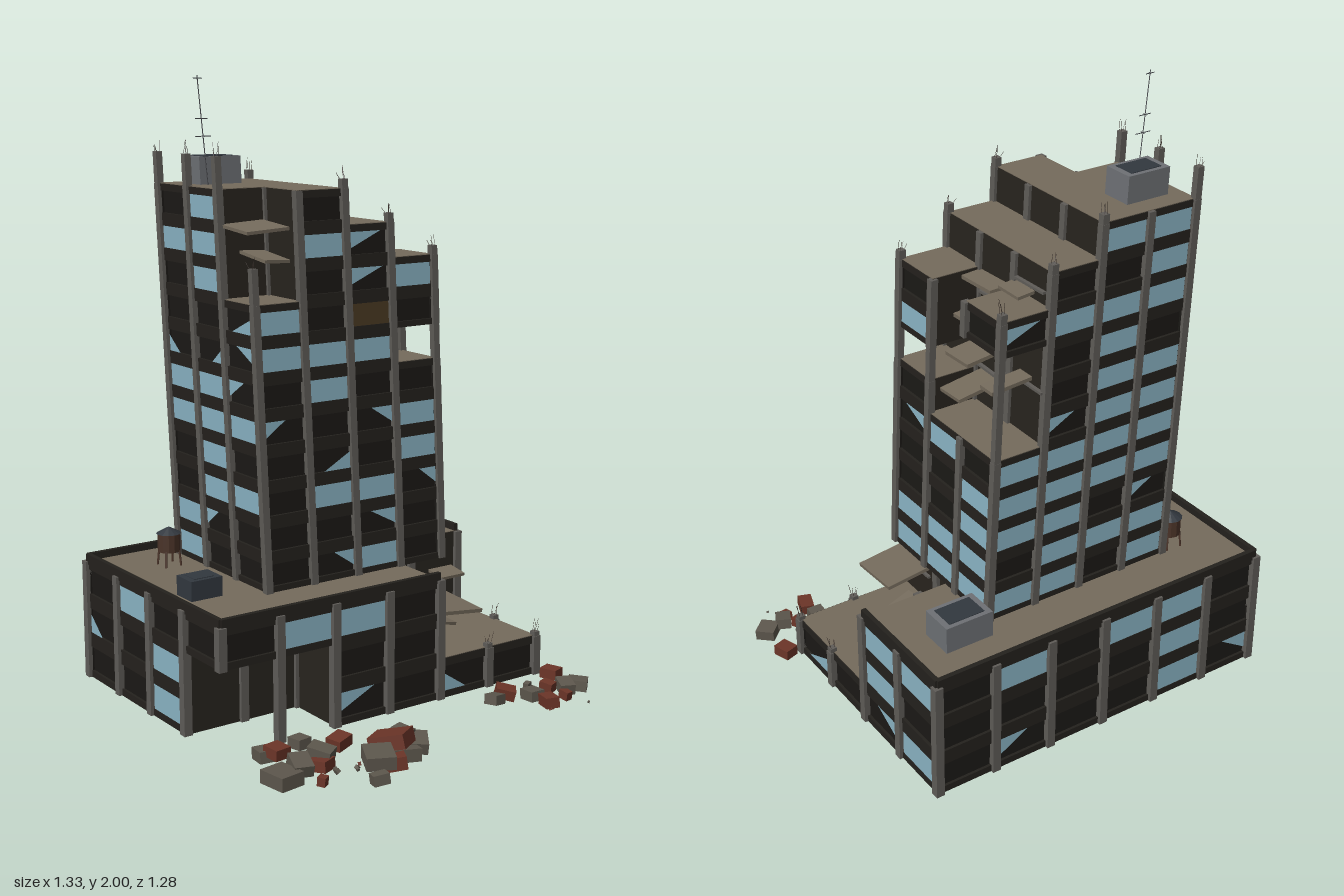
import * as THREE from 'three';
import { mergeGeometries } from 'three/addons/utils/BufferGeometryUtils.js';

const COLORS = {
  walls: 0x24211d, panels: 0x1b1916, innerWalls: 0x28241e, glass: 0x8ab4c4, slabs: 0x756b5c, columns: 0x5f5c58,
  boards: 0x4a3a22, vents: 0x6e7175, ventTops: 0x32383f, rebar: 0x3a302a,
  tank: 0x4a3328, antenna: 0x44464a, brickRubble: 0x6c3528, concreteRubble: 0x5d574d,
};
const hash = n => { const s = Math.sin(n * 12.9898 + 4.1) * 43758.5453; return s - Math.floor(s); };

// Gathers the pieces of a building section and merges them by part
class Section {
  constructor(name) { this.name = name; this.parts = {}; }
  add(part, geo, pos = [0, 0, 0], rot = [0, 0, 0]) {
    const g = geo.index ? geo.toNonIndexed() : geo;
    g.deleteAttribute('uv');
    g.applyMatrix4(new THREE.Matrix4().makeRotationFromEuler(new THREE.Euler(...rot)).setPosition(...pos));
    (this.parts[part] ??= []).push(g);
  }
  box(part, x0, x1, y0, y1, z0, z1) {
    this.add(part, new THREE.BoxGeometry(x1 - x0, y1 - y0, z1 - z0), [(x0 + x1) / 2, (y0 + y1) / 2, (z0 + z1) / 2]);
  }
  tilted(part, size, pos, rot) { this.add(part, new THREE.BoxGeometry(...size), pos, rot); }
  rod(part, a, b, r) {
    const line = new THREE.LineCurve3(new THREE.Vector3(...a), new THREE.Vector3(...b));
    this.add(part, new THREE.TubeGeometry(line, 1, r, 4));
  }
  build(leanX = 0, leanZ = 0, baseY = 0) {
    const group = new THREE.Group();
    group.name = this.name;
    for (const [part, list] of Object.entries(this.parts)) {
      const geo = mergeGeometries(list), p = geo.attributes.position;
      for (let i = 0; i < p.count; i++) {
        const dy = p.getY(i) - baseY;
        p.setX(i, p.getX(i) + leanX * dy);
        p.setZ(i, p.getZ(i) + leanZ * dy);
      }
      geo.computeVertexNormals();
      const mat = new THREE.MeshStandardMaterial({ color: COLORS[part] });
      if (part === 'glass') mat.side = THREE.DoubleSide;
      const mesh = new THREE.Mesh(geo, mat);
      mesh.name = part;
      group.add(mesh);
    }
    return group;
  }
}

// Walls, windows, slabs and columns round every filled cell of a grid
function buildGrid(s, { x0, dx, nx, z0, dz, nz, y0, h, ny, filled, windows, parapet = 0, openBase = false, col }) {
  const X = i => x0 + i * dx, Z = k => z0 - k * dz, Y = j => y0 + j * h;
  const has = (i, j, k) => i >= 0 && j >= 0 && k >= 0 && i < nx && j < ny && k < nz && filled(i, j, k);
  const sides = [['front', 0, -1], ['back', 0, 1], ['right', 1, 0], ['left', -1, 0]];
  const face = (side, i, k) => ({
    front: { n: 1, at: Z(k), a0: X(i), a1: X(i + 1) },
    back: { n: -1, at: Z(k + 1), a0: X(i), a1: X(i + 1) },
    right: { n: 1, at: X(i + 1), a0: Z(k + 1), a1: Z(k), side: true },
    left: { n: -1, at: X(i), a0: Z(k + 1), a1: Z(k), side: true },
  })[side];
  const panel = (part, f, t0, t1, a0, a1, ya, yb) => {
    const p = f.at + f.n * t0, q = f.at + f.n * t1, lo = Math.min(p, q), hi = Math.max(p, q);
    if (f.side) s.box(part, lo, hi, ya, yb, a0, a1);
    else s.box(part, a0, a1, ya, yb, lo, hi);
  };
  for (let j = 0; j < ny; j++) for (let i = 0; i <= nx; i++) for (let k = 0; k <= nz; k++) {
    // Column where filled and empty cells meet
    const n = [[0, 0], [-1, 0], [0, -1], [-1, -1]].filter(([a, b]) => has(i + a, j, k + b)).length;
    if (n > 0 && n < 4) s.box('columns', X(i) - col, X(i) + col, Y(j), Y(j + 1), Z(k) - col, Z(k) + col);
    if (!has(i, j, k)) continue;
    const ya = Y(j), yb = Y(j + 1);
    if (!has(i, j + 1, k)) s.box('slabs', X(i), X(i + 1), yb - .012, yb + .002, Z(k + 1), Z(k));
    if (!has(i, j - 1, k) && !(openBase && j === 0)) s.box('slabs', X(i), X(i + 1), ya, ya + .012, Z(k + 1), Z(k));
    sides.forEach(([side, di, dk], d) => {
      if (has(i + di, j, k + dk)) return;
      const f = face(side, i, k), a = f.side ? k : i, { a0, a1 } = f;
      const outer = i + di < 0 || i + di >= nx || k + dk < 0 || k + dk >= nz;
      // Plain wall where a neighbouring bay has fallen away
      if (!outer) { panel('innerWalls', f, -.01, .002, a0, a1, ya, yb); return; }
      const w0 = ya + h * .17, w1 = ya + h * .8;
      panel('panels', f, -.014, -.006, a0, a1, ya, yb);
      panel('walls', f, -.006, .003, a0, a1, ya, w0);
      panel('walls', f, -.006, .003, a0, a1, w1, yb);
      if (parapet && j === ny - 1) panel('walls', f, -.01, .006, a0, a1, yb - .01, yb + parapet);
      const seed = d * 131 + a * 17 + j * 7.3, r = hash(seed);
      const kind = windows[side] ? windows[side][j][a] : r < .5 ? 'G' : r < .7 ? 's' : r < .73 ? 'b' : '.';
      const m = col * 1.1;
      if (kind === 'G' || kind === 'b') panel(kind === 'G' ? 'glass' : 'boards', f, -.006, .001, a0 + m, a1 - m, w0, w1);
      if (kind === 's') {
        // Broken pane left hanging in a corner
        const flip = hash(seed + 3) < .5, c = flip ? a1 - m : a0 + m, e = c + (flip ? -1 : 1) * (a1 - a0) * (.35 + .4 * hash(seed + 5));
        const yc = hash(seed + 9) < .7 ? w1 : w0, yo = yc + (w0 + w1 - 2 * yc) * .75, t = f.at + f.n * .001;
        const pts = [[c, yc], [e, yc], [c, yo]].flatMap(([u, v]) => f.side ? [t, v, u] : [u, v, t]);
        const tri = new THREE.BufferGeometry().setAttribute('position', new THREE.Float32BufferAttribute(pts, 3));
        tri.computeVertexNormals();
        s.add('glass', tri);
      }
    });
  }
  return { X, Y, Z };
}

// Roof plant box with a dark sunken top
function vent(s, x0, x1, y0, y1, z0, z1, part = 'vents') {
  s.box(part, x0, x1, y0, y1, z0, z1);
  s.box('ventTops', x0 + .02, x1 - .02, y1 - .01, y1 + .002, z0 + .015, z1 - .015);
}

// Broken column stub with bent bars on top
function stub(s, x, z, ya, yb, w = .011) {
  s.box('columns', x - w, x + w, ya, yb, z - w, z + w);
  for (let n = 0; n < 4; n++) {
    const bx = x + (n % 2 - .5) * w, bz = z + ((n >> 1) - .5) * w, r = hash(x * 91 + z * 37 + n);
    s.rod('rebar', [bx, yb - .005, bz], [bx + (r - .5) * .025, yb + .015 + .03 * r, bz + (hash(r * 50) - .5) * .025], .0008);
  }
}

function podium() {
  const s = new Section('podium');
  const { X, Y, Z } = buildGrid(s, {
    x0: -.647, dx: .2035, nx: 6, z0: .205, dz: .2115, nz: 4, y0: .02, h: .1333, ny: 3, parapet: .025, openBase: true, col: .014,
    filled: (i, j, k) => !(i < 2 && k === 0 && j < 2) && !(i > 3 && k < 2 && j > 0),
    windows: {
      front: ['..s.s.', '......', '.GG...'], right: ['s.sG', '..G.', '..GG'],
      back: ['sG..s.', '.G....', '.GG.G.'], left: ['sG..', '.G.s', '..G.'],
    },
  });
  // Pillar under the overhang and stubs round the collapsed corner
  s.box('columns', X(1) - .014, X(1) + .014, Y(0), Y(2), Z(0) - .014, Z(0) + .014);
  for (const [i, k] of [[5, 0], [6, 0], [6, 1]]) stub(s, X(i), Z(k), Y(1), Y(1) + .015);
  // Fallen floor pieces
  s.tilted('slabs', [.18, .012, .19], [.255, .3, .11], [.06, 0, -.12]);
  s.tilted('slabs', [.1, .01, .08], [.5, .29, -.18], [.15, 0, 0]);
  s.tilted('slabs', [.13, .01, .1], [.3, .21, .0], [.1, .1, -.25]);
  for (const [y, r] of [[.27, .06], [.29, -.08]]) s.tilted('columns', [.16, .008, .01], [.26, y, -.19], [0, 0, r]);
  s.tilted('columns', [.01, .008, .18], [.19, .28, .1], [.03, 0, 0]);
  // Roof plant
  vent(s, .3, .465, .42, .51, -.525, -.41);
  vent(s, -.595, -.485, .42, .485, -.14, -.05, 'ventTops');
  // Water tank on legs
  s.add('tank', new THREE.CylinderGeometry(.037, .037, .06, 12), [-.455, .5, -.435]);
  s.add('ventTops', new THREE.ConeGeometry(.041, .022, 12), [-.455, .541, -.435]);
  for (const a of [-1, 1]) for (const b of [-1, 1])
    s.rod('tank', [-.455 + a * .028, .42, -.435 + b * .028], [-.455 + a * .024, .475, -.435 + b * .024], .004);
  return s.build();
}

function tower() {
  const s = new Section('tower'), h = .111;
  const heights = [[8, 11, 11], [11, 11, 11], [10, 10, 10], [9, 5, 5]];
  const { X, Y, Z } = buildGrid(s, {
    x0: -.388, dx: .168, nx: 4, z0: .06, dz: .179, nz: 3, y0: .44, h, ny: 11, col: .012,
    filled: (i, j, k) => (j < heights[i][k] && !(i === 3 && j === 6)) || (i === 3 && k === 2 && j === 8),
    windows: {
      front: ['.sG.', '..s.', '.GGs', '.s.G', 's.sG', '.G..', 'GGG.', 'G.b.', '..sG', '.Gs.', '....'],
      right: ['GGG', 'GGG', '..G', '..G', 'sG.', '...', '...', 'G..', '...', '...', '...'],
    },
  });
  // Column stubs above the broken roofs
  stub(s, X(0), Z(0), Y(8), Y(9));
  for (let k = 1; k < 4; k++) stub(s, X(0), Z(k), Y(11), Y(11) + .1);
  for (const k of [0, 3]) for (const [i, f] of [[2, 11], [3, 10], [4, 9]]) stub(s, X(i), Z(k), Y(f), Y(f) + .03);
  // Free-standing columns of the opened bay
  for (const k of [0, 1, 3]) s.box('columns', X(4) - .011, X(4) + .011, Y(k < 2 ? 6 : 5), Y(8), Z(k) - .011, Z(k) + .011);
  // Stepped floor fragments in the opened bay
  s.tilted('slabs', [.06, .01, .1], [X(3) + .03, Y(9) + .02, Z(2) - .05], [0, 0, -.1]);
  [[9, .07], [8, .1], [7, .13], [6, .15]].forEach(([f, w], n) =>
    s.tilted('slabs', [w, .012, .15 - n * .015], [X(3) + w / 2, Y(f) - .01, Z(1) - .08], [.04, 0, -.06 - .03 * n]));
  s.tilted('slabs', [.14, .012, .06], [X(4) - .06, Y(7), Z(3) + .05], [0, 0, -.08]);
  // Broken slabs over the low front corner
  s.tilted('slabs', [.15, .01, .16], [X(0) + .08, Y(10), Z(1) + .07], [.08, 0, .05]);
  s.tilted('slabs', [.09, .01, .15], [X(0) + .11, Y(9) + .02, Z(1) + .07], [.12, 0, -.05]);
  // Beams hanging on the exposed inner walls
  for (const [f, k, r] of [[8.4, 1.5, .03], [6.2, 1.5, -.03], [9.4, 2.5, .02], [6.6, 2.6, 0]])
    s.tilted('columns', [.012, .008, .14], [X(3) + .012, Y(f), Z(k)], [r, 0, 0]);
  // Roof plant and leaning mast
  vent(s, -.337, -.187, Y(11), Y(11) + .088, -.41, -.305);
  const mast = t => [-.322 - .026 * t, Y(11) + .338 * t, -.285 + .012 * t];
  s.rod('antenna', mast(0), mast(1), .0018);
  for (const [t, w] of [[.45, .028], [.61, .022], [.97, .016]]) {
    const [x, y, z] = mast(t);
    s.rod('antenna', [x - w, y, z], [x + w, y, z], .0014);
    s.rod('antenna', [x, y, z - w / 3], [x, y, z + w / 3], .0014);
  }
  return s.build(-.035, -.012, .44);
}

// Fallen blocks: x, z, size, lift, 1 for brick
function rubble() {
  const s = new Section('rubble');
  const blocks = [
    [-.59, .44, .1, 0, 0], [-.52, .43, .075, .02, 0], [-.53, .265, .07, 0, 0], [-.52, .305, .06, .02, 1],
    [-.4, .245, .055, 0, 0], [-.3, .31, .065, 0, 1], [-.42, .39, .075, .02, 0], [-.44, .42, .06, 0, 1],
    [-.5, .515, .028, 0, 1], [-.32, .54, .095, .03, 0], [-.23, .48, .115, .04, 1], [-.15, .43, .06, .03, 0],
    [-.13, .475, .075, .01, 0], [-.36, .6, .05, 0, 0], [-.27, .53, .09, 0, 1], [-.2, .5, .09, 0, 0],
    [.31, .315, .05, 0, 0], [.375, .29, .065, 0, 1], [.475, .285, .025, 0, 0], [.435, .355, .06, 0, 0],
    [.44, .43, .065, 0, 1], [.51, .345, .045, .01, 1], [.555, .38, .065, .01, 0], [.525, .415, .035, 0, 1],
    [.62, .24, .06, 0, 1], [.62, .37, .065, 0, 0],
  ];
  blocks.forEach(([x, z, w, lift, brick], n) => {
    const t = .022 + .2 * w;
    s.tilted(brick ? 'brickRubble' : 'concreteRubble', [w, t, w * (.7 + .3 * hash(n))],
      [x, t / 2 + lift + .006, z], [(hash(n + 40) - .5) * .3, hash(n + 80) * 3, (hash(n + 60) - .5) * .3]);
  });
  // Small chips
  for (let n = 0; n < 14; n++)
    s.tilted(n % 3 ? 'concreteRubble' : 'brickRubble', Array(3).fill(.006 + .01 * hash(n + 7)),
      [(n < 9 ? -.36 : .5) + (hash(n + 21) - .5) * .2, .008, .4 + (hash(n + 33) - .5) * .2], [n, n * 2, 0]);
  return s.build();
}

export function createModel() {
  const model = new THREE.Group();
  model.name = 'ruinedHighRise';
  model.add(podium(), tower(), rubble());
  return model;
}
